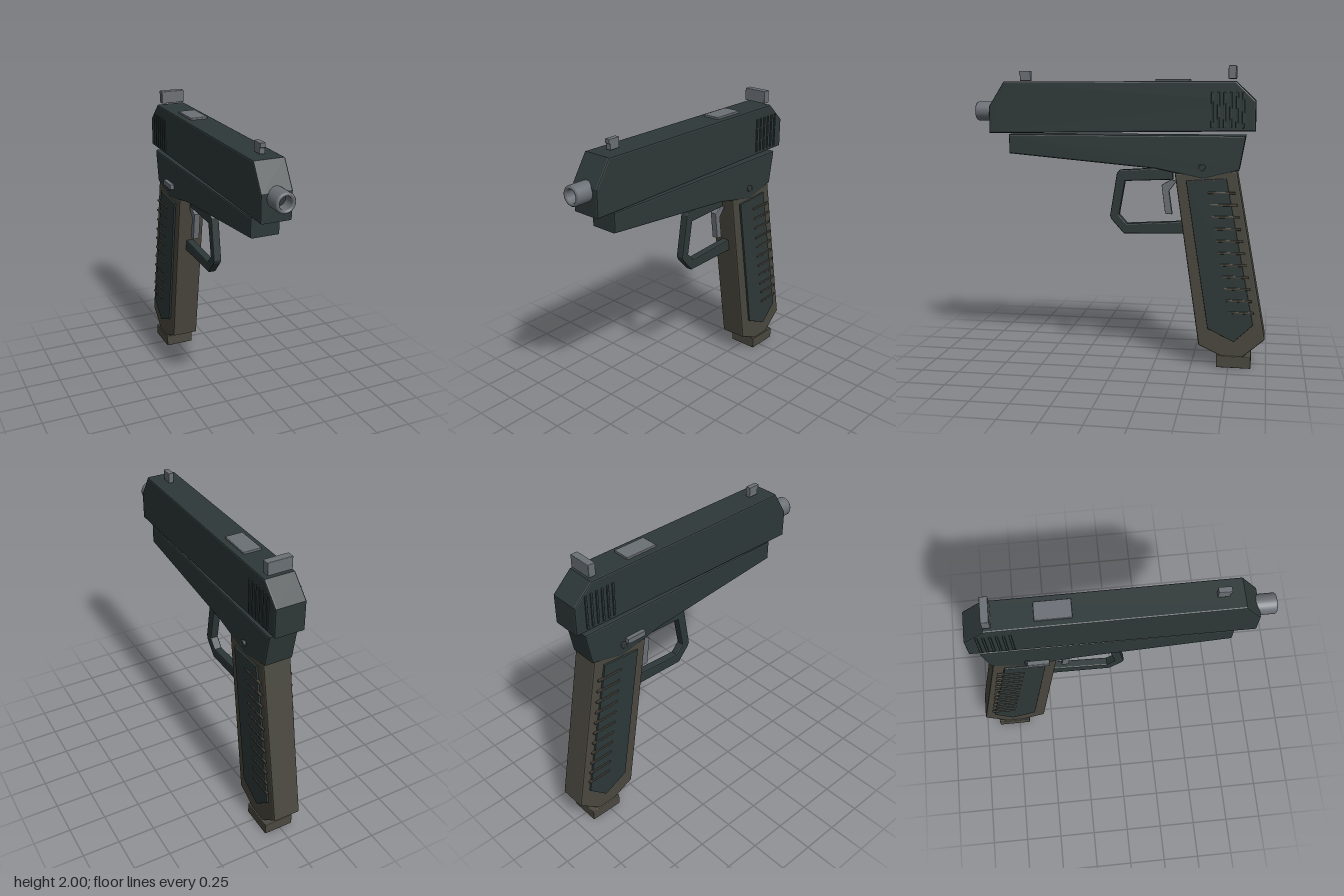
import * as THREE from 'three';
import { RoundedBoxGeometry } from 'three/addons/geometries/RoundedBoxGeometry.js';

const CX = 0.0125; // centre plane of the body

const material = (name, color) => {
  const m = new THREE.MeshStandardMaterial({ color });
  m.name = name;
  return m;
};

export function createModel() {
  const gunmetal = material('gunmetal', 0x2e3838);
  const steel = material('steel', 0x6b7076);
  const polymer = material('grip polymer', 0x4a483f);

  const group = new THREE.Group();
  group.name = 'pistolProp';

  const add = (name, geometry, mat) => {
    const mesh = new THREE.Mesh(geometry, mat);
    mesh.name = name;
    group.add(mesh);
    return mesh;
  };

  // Side profile of [z, y] points, extruded across x with small bevels
  const slab = (name, points, width, mat, x = CX, bevel = 0.01) => {
    const shape = new THREE.Shape(points.map(([z, y]) => new THREE.Vector2(z, y)));
    const geometry = new THREE.ExtrudeGeometry(shape, {
      depth: width - 2 * bevel, bevelEnabled: true, bevelThickness: bevel,
      bevelSize: bevel, bevelOffset: -bevel, bevelSegments: 2,
    });
    geometry.translate(0, 0, bevel - width / 2);
    geometry.rotateY(-Math.PI / 2);
    geometry.translate(x, 0, 0);
    return add(name, geometry, mat);
  };

  // Box given by its [min, max] on each axis
  const box = (name, [x0, x1], [y0, y1], [z0, z1], mat, r = 0.004) => {
    const geometry = new RoundedBoxGeometry(x1 - x0, y1 - y0, z1 - z0, 2, r);
    geometry.translate((x0 + x1) / 2, (y0 + y1) / 2, (z0 + z1) / 2);
    return add(name, geometry, mat);
  };

  // Slide and frame
  slab('slide', [[0.88, 1.555], [0.88, 1.735], [0.775, 1.9], [-0.77, 1.9],
    [-0.9, 1.775], [-0.9, 1.58]], 0.205, gunmetal);
  slab('frame', [[0.745, 1.42], [0.745, 1.55], [-0.84, 1.55], [-0.8, 1.325],
    [-0.57, 1.265], [-0.25, 1.33]], 0.195, gunmetal);

  // Barrel with an open muzzle
  const profile = [[0.065, 0.85], [0.065, 0.98], [0.058, 0.99], [0.045, 0.99],
    [0.041, 0.98], [0.041, 0.9]].map(([r, z]) => new THREE.Vector2(r, z));
  const barrel = new THREE.LatheGeometry(profile, 32);
  barrel.rotateX(Math.PI / 2);
  barrel.translate(CX, 1.702, 0);
  const barrelSteel = steel;
  barrelSteel.side = THREE.DoubleSide;
  add('barrel', barrel, barrelSteel);
  const bore = new THREE.CircleGeometry(0.042, 32);
  bore.translate(CX, 1.702, 0.902);
  add('bore', bore, gunmetal);

  // Sights and ejection port
  slab('frontSight', [[0.61, 1.905], [0.61, 1.972], [0.69, 1.972], [0.69, 1.945],
    [0.682, 1.94], [0.682, 1.905]], 0.036, steel, CX, 0.003);
  box('rearSight', [-0.07, 0.095], [1.915, 2], [-0.77, -0.72], steel);
  box('ejectionPort', [-0.047, 0.073], [1.895, 1.914], [-0.47, -0.245], steel);

  // Grip, magazine base
  slab('grip', [[-0.38, 1.3], [-0.785, 1.325], [-0.99, 0.2], [-0.84, 0.07],
    [-0.71, 0.07], [-0.55, 0.145]], 0.19, polymer);
  box('magazineBase', [-0.09, 0.116], [0, 0.08], [-0.9, -0.67], polymer, 0.005);

  // Details on both sides
  for (const side of [-1, 1]) {
    const at = (d) => CX + side * d;
    const span = (a, b) => [Math.min(at(a), at(b)), Math.max(at(a), at(b))];

    slab('gripPanel', [[-0.455, 1.255], [-0.72, 1.272], [-0.91, 0.3],
      [-0.785, 0.18], [-0.61, 0.265]], 0.02, gunmetal, at(0.099), 0.005);

    // Grip ribs
    for (let i = 0; i < 11; i++) {
      const y = 1.18 - i * 0.0797;
      const z = -0.6 - i * 0.0145;
      box('gripRib', span(0.1, 0.116), [y - 0.007, y + 0.007],
        [z - 0.18 + i * 0.001, z], polymer, 0.003);
    }

    // Slide serrations
    for (let i = 0; i < 6; i++) {
      const z = -0.62 - i * 0.04;
      box('slideSerration', span(0.095, 0.11), [1.6, 1.83],
        [z - 0.008, z + 0.008], gunmetal, 0.004);
    }

    // Frame pin with a bright rim
    const pin = new THREE.CylinderGeometry(0.022, 0.022, 0.03, 20);
    pin.rotateZ(Math.PI / 2);
    pin.translate(at(0.097), 1.345, -0.56);
    add('framePin', pin, gunmetal);
    const rim = new THREE.TorusGeometry(0.02, 0.003, 6, 20);
    rim.rotateY(Math.PI / 2);
    rim.translate(at(0.112), 1.345, -0.56);
    add('framePinRim', rim, steel);
  }

  // Trigger guard and trigger
  slab('triggerGuard', [[-0.36, 1.335], [-0.2, 1.325], [0.0, 1.312], [0.018, 1.29],
    [0.065, 1.0], [0.055, 0.975], [-0.03, 0.88], [-0.47, 0.89], [-0.47, 0.975],
    [-0.05, 0.95], [0.003, 1.01], [-0.037, 1.238], [-0.36, 1.252]],
  0.056, gunmetal, CX, 0.008);
  slab('trigger', [[-0.285, 1.215], [-0.35, 1.252], [-0.385, 1.24], [-0.335, 1.175],
    [-0.357, 1.018], [-0.31, 1.023]], 0.045, steel, CX, 0.004);

  // Control lever on one side only
  box('slideLever', [-0.136, -0.105], [1.373, 1.41], [-0.56, -0.42], steel);

  return group;
}
